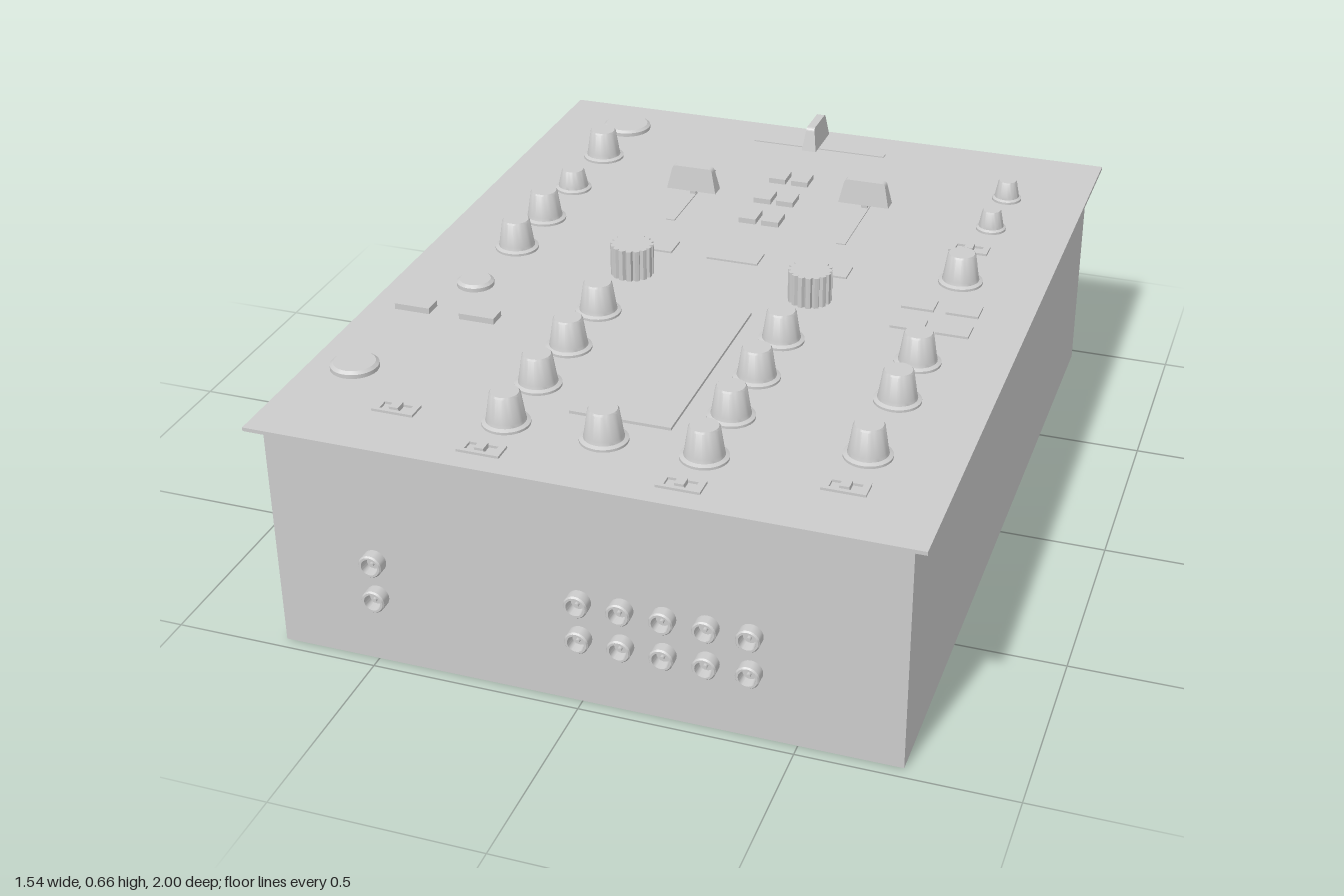
import * as THREE from 'three';
import { toCreasedNormals } from 'three/addons/utils/BufferGeometryUtils.js';

const TOP = 0.58; // upper face of the control panel
const mat = new THREE.MeshStandardMaterial({ color: 0xcccccc });

export function createModel() {
  const model = new THREE.Group();

  const add = (name, geo, x, y, z) => {
    const m = new THREE.Mesh(geo, mat);
    m.name = name;
    m.position.set(x, y, z);
    model.add(m);
    return m;
  };
  // Box standing on the panel
  const pad = (name, x, z, w, d, h) =>
    add(name, new THREE.BoxGeometry(w, h, d), x, TOP + h / 2, z);
  const lathe = (pts, seg = 32) => toCreasedNormals(
    new THREE.LatheGeometry(pts.map(([r, y]) => new THREE.Vector2(r, y)), seg), 0.6);

  // Case and overhanging panel
  add('case', new THREE.BoxGeometry(1.475, 0.572, 1.935), 0, 0.286, 0.002);
  add('topPanel', new THREE.BoxGeometry(1.54, 0.009, 2), 0, TOP - 0.0045, 0);

  // Tapered rotary knobs with a skirt
  const knobGeo = (s, h) => lathe([
    [0.055 * s, 0], [0.055 * s, 0.006], [0.046 * s, 0.01], [0.044 * s, 0.018],
    [0.035 * s, h - 0.004], [0.032 * s, h], [0, h]]);
  const knob = knobGeo(1, 0.08), mediumKnob = knobGeo(0.87, 0.057), smallKnob = knobGeo(0.7, 0.055);
  const knobs = [[-0.555, -0.635], [-0.555, -0.21], [-0.555, -0.025], [0, 0.797],
    [0.56, -0.19], [0.56, 0.245], [0.56, 0.43], [0.56, 0.68]];
  for (const x of [-0.23, 0.23])
    for (const z of [0.24, 0.43, 0.615, 0.797]) knobs.push([x, z]);
  for (const [x, z] of knobs) add('knob', knob, x, TOP, z);
  add('mediumKnob', mediumKnob, -0.555, TOP, -0.41);
  for (const z of [-0.71, -0.515]) add('smallKnob', smallKnob, 0.565, TOP, z);

  // Ribbed selector knobs
  const ribs = new THREE.Shape();
  const N = 16;
  for (let i = 0; i < N * 4; i++) {
    const a = (i / (N * 4)) * Math.PI * 2;
    const r = i % 4 === 0 ? 0.046 : 0.054;
    ribs[i ? 'lineTo' : 'moveTo'](r * Math.cos(a), r * Math.sin(a));
  }
  const ribbed = new THREE.ExtrudeGeometry(ribs, { depth: 0.08, bevelEnabled: false });
  ribbed.rotateX(-Math.PI / 2);
  for (const x of [-0.227, 0.233]) add('ribbedKnob', ribbed, x, TOP, 0.015);

  // Round buttons with chamfered rims
  for (const [x, z, r] of [[-0.565, -0.845, 0.066], [-0.57, 0.2, 0.046], [-0.66, 0.675, 0.057]])
    add('roundButton', lathe([[r, 0], [r, 0.01], [r - 0.008, 0.016], [0, 0.016]], 40), x, TOP, z);

  // Display and rectangular buttons
  pad('display', 0.005, 0.428, 0.24, 0.575, 0.007);
  for (const x of [-0.655, -0.487]) pad('cueButton', x, 0.36, 0.09, 0.046, 0.015);
  for (const x of [-0.237, -0.01, 0.222]) pad('flatButton', x, -0.147, 0.133, 0.065, 0.005);
  for (const x of [0.495, 0.605])
    for (const z of [-0.037, 0.07]) pad('effectPad', x, z, 0.08, 0.056, 0.006);

  // Paired buttons between the faders
  for (const z of [-0.64, -0.505, -0.375])
    for (const x of [-0.044, 0.018]) pad('pairButton', x, z, 0.046, 0.06, 0.014);

  // Toggle switches: framed plate with a small lever block
  const frame = new THREE.Shape([[-0.05, -0.024], [0.05, -0.024], [0.05, 0.024], [-0.05, 0.024]]
    .map(p => new THREE.Vector2(...p)));
  frame.holes.push(new THREE.Path([[-0.034, -0.014], [-0.034, 0.014], [0.034, 0.014], [0.034, -0.014]]
    .map(p => new THREE.Vector2(...p))));
  const frameGeo = new THREE.ExtrudeGeometry(frame, { depth: 0.006, bevelEnabled: false });
  frameGeo.rotateX(-Math.PI / 2);
  for (const [x, z] of [[-0.485, 0.82], [-0.235, 0.92], [0.22, 0.92], [0.55, 0.82], [0.54, -0.375]]) {
    add('switchFrame', frameGeo, x, TOP, z);
    pad('switchLever', x, z, 0.022, 0.028, 0.012);
  }

  // Faders: slot, stem and tapered cap (long side across the slot)
  const side = new THREE.Shape();
  side.moveTo(-0.068, 0.016);
  side.lineTo(0.068, 0.016);
  side.lineTo(0.056, 0.07);
  side.quadraticCurveTo(0.054, 0.08, 0.044, 0.08);
  side.lineTo(-0.044, 0.08);
  side.quadraticCurveTo(-0.054, 0.08, -0.056, 0.07);
  side.closePath();
  const cap = new THREE.ExtrudeGeometry(side, { depth: 0.04, bevelEnabled: false });
  cap.translate(0, 0, -0.02);
  const p = cap.attributes.position; // narrow the cap toward its top
  for (let i = 0; i < p.count; i++)
    p.setZ(i, p.getZ(i) * (1 - 0.45 * (p.getY(i) - 0.016) / 0.064));
  cap.computeVertexNormals();
  const fader = (name, x, z, slotX, slotZ, w, d, turn) => {
    pad(name + 'Slot', slotX, slotZ, w, d, 0.003);
    pad(name + 'Stem', x, z, 0.016, 0.016, 0.02);
    add(name + 'Cap', cap, x, TOP, z).rotation.y = turn;
  };
  fader('leftFader', -0.237, -0.478, -0.24, -0.47, 0.024, 0.34, 0);
  fader('rightFader', 0.222, -0.535, 0.222, -0.47, 0.024, 0.34, 0);
  fader('crossfader', -0.015, -0.88, -0.003, -0.88, 0.375, 0.022, Math.PI / 2);

  // Sockets on the front wall: hollow collar with a centre pin
  const socket = lathe([[0.028, 0], [0.028, 0.026], [0.025, 0.03], [0.02, 0.03],
    [0.017, 0.006], [0.005, 0.006], [0.005, 0.02], [0, 0.02]], 24);
  socket.rotateX(Math.PI / 2);
  for (const y of [0.175, 0.27])
    for (const x of [-0.49, 0, 0.098, 0.196, 0.294, 0.392]) add('socket', socket, x, y, 0.969);

  return model;
}
